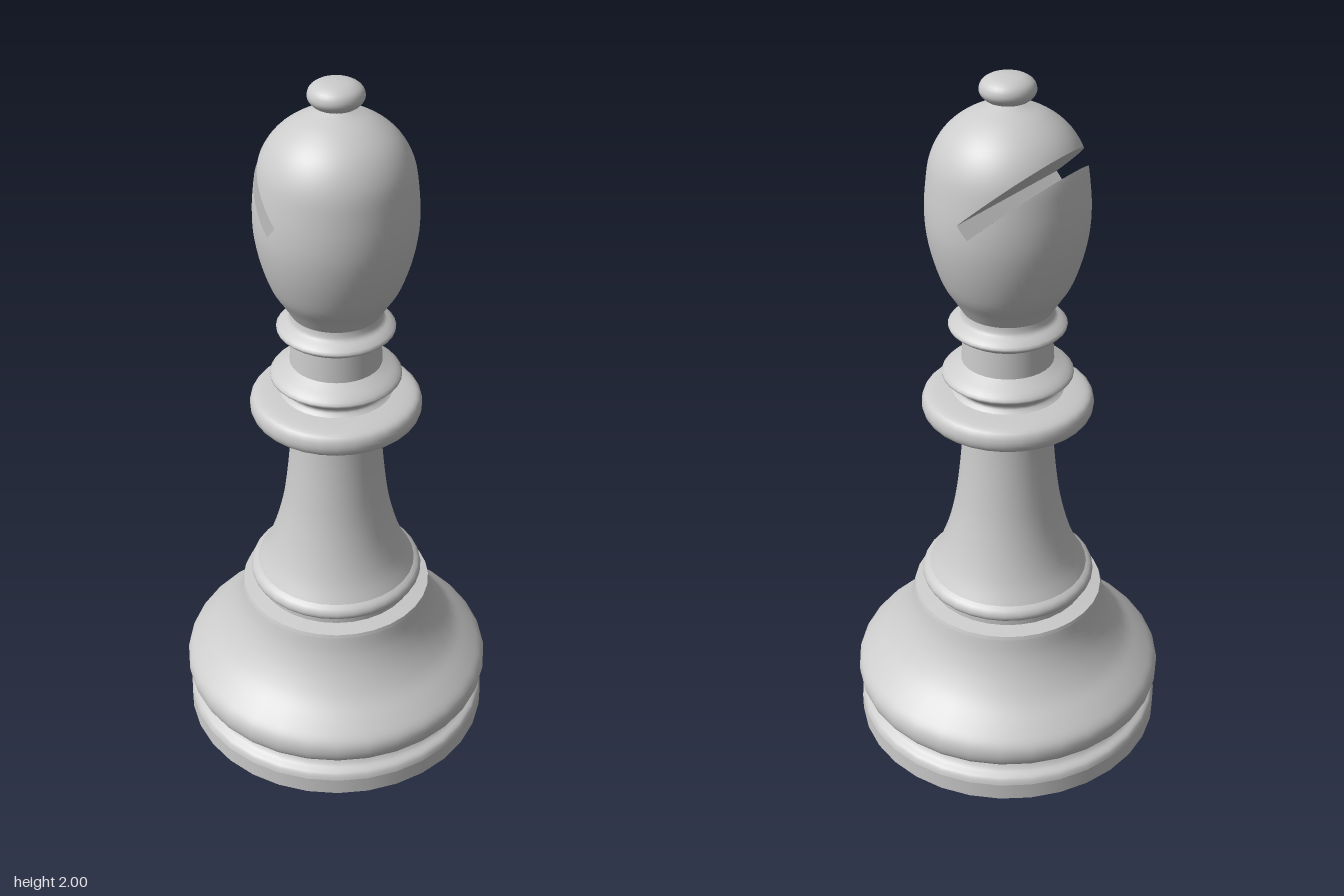
import * as THREE from 'three';

const SIDES = 32;
const material = new THREE.MeshStandardMaterial({ color: 0xcccccc });
const wallMaterial = new THREE.MeshStandardMaterial({ color: 0xcccccc, side: THREE.DoubleSide });

const toPoints = (pairs) => pairs.map(([r, y]) => new THREE.Vector2(r, y));
const smooth = (pairs, n) => new THREE.SplineCurve(toPoints(pairs)).getPoints(n)
  .map((p) => new THREE.Vector2(Math.max(0, p.x), p.y));

// Slot through the head: inner end, outward direction, cross direction, half width
const END = new THREE.Vector2(-0.0165, 1.667);
const DIR = new THREE.Vector2(-0.741, 0.671);
const CROSS = new THREE.Vector2(0.671, 0.741);
const HALF = 0.022;

// Signed distances; a point is in the slot when all three are positive
const along = (p, v) => (p.x - END.x) * v.x + (p.y - END.y) * v.y;
const slotPlanes = [
  (p) => along(p, DIR),
  (p) => HALF - along(p, CROSS),
  (p) => HALF + along(p, CROSS),
];

// Part of a polygon on one side of a plane; vertices are { p, n }
function clip(poly, dist, sign) {
  const out = [];
  poly.forEach((a, i) => {
    const b = poly[(i + 1) % poly.length];
    const da = sign * dist(a.p), db = sign * dist(b.p);
    if (da >= 0) out.push(a);
    if (da * db < 0) {
      const t = da / (da - db);
      out.push({ p: a.p.clone().lerp(b.p, t), n: a.n.clone().lerp(b.n, t).normalize() });
    }
  });
  return out;
}

// Remove the slot from a surface, triangle by triangle
function cutSlot(geometry) {
  const g = geometry.toNonIndexed();
  const { position, normal } = g.attributes;
  const pos = [], nor = [];
  const emit = (poly) => {
    for (let k = 1; k + 1 < poly.length; k++) {
      for (const v of [poly[0], poly[k], poly[k + 1]]) {
        pos.push(...v.p.toArray());
        nor.push(...v.n.toArray());
      }
    }
  };
  for (let i = 0; i < position.count; i += 3) {
    let inside = [0, 1, 2].map((k) => ({
      p: new THREE.Vector3().fromBufferAttribute(position, i + k),
      n: new THREE.Vector3().fromBufferAttribute(normal, i + k),
    }));
    if (!slotPlanes.every((d) => inside.some((v) => d(v.p) > 0))) {
      emit(inside);
      continue;
    }
    for (const d of slotPlanes) {
      emit(clip(inside, d, -1));
      inside = clip(inside, d, 1);
    }
  }
  const out = new THREE.BufferGeometry();
  out.setAttribute('position', new THREE.Float32BufferAttribute(pos, 3));
  out.setAttribute('normal', new THREE.Float32BufferAttribute(nor, 3));
  return out;
}

// Flat wall that runs along a line in xy and spans the head in z
function slotWall(profile, start, dir, length) {
  const radius = (y) => {
    const i = profile.findIndex((p) => p.y > y);
    if (i < 1) return 0;
    const a = profile[i - 1], b = profile[i];
    return a.x + (b.x - a.x) * (y - a.y) / (b.y - a.y);
  };
  const at = (t) => start.clone().addScaledVector(dir, t);
  const room = (t) => { const p = at(t); return radius(p.y) ** 2 - p.x ** 2; };
  let end = length;
  if (room(length) < 0) {
    let lo = 0;
    for (let k = 0; k < 30; k++) {
      const mid = (lo + end) / 2;
      if (room(mid) > 0) lo = mid; else end = mid;
    }
  }
  const steps = 32, pos = [], index = [];
  for (let i = 0; i <= steps; i++) {
    const t = end * Math.sin((i / steps) * Math.PI / 2);
    const p = at(t), w = Math.sqrt(Math.max(0, room(t)));
    pos.push(p.x, p.y, w, p.x, p.y, -w);
    if (i < steps) {
      const a = 2 * i;
      index.push(a, a + 1, a + 2, a + 1, a + 3, a + 2);
    }
  }
  const g = new THREE.BufferGeometry();
  g.setAttribute('position', new THREE.Float32BufferAttribute(pos, 3));
  g.setIndex(index);
  g.computeVertexNormals();
  return g;
}

export function createModel() {
  const model = new THREE.Group();
  model.name = 'bishop';
  const add = (name, geometry, mat = material, parent = model) => {
    const mesh = new THREE.Mesh(geometry, mat);
    mesh.name = name;
    parent.add(mesh);
  };
  const turned = (name, points) => add(name, new THREE.LatheGeometry(points, SIDES));
  // Straight profile with a sharp edge at every corner
  const faceted = (name, pairs) => {
    const pts = toPoints(pairs);
    for (let i = 0; i + 1 < pts.length; i++) turned(name, [pts[i], pts[i + 1]]);
  };

  // Base
  faceted('foot', [[0, 0], [0.37, 0], [0.37, 0.027], [0.405, 0.03], [0.435, 0.06], [0.435, 0.11]]);
  turned('footShoulder', smooth([[0.435, 0.11], [0.428, 0.128], [0.408, 0.14], [0.398, 0.155]], 8));
  turned('baseBell', smooth([[0.398, 0.155], [0.415, 0.172], [0.433, 0.19], [0.439, 0.22], [0.43, 0.25],
    [0.395, 0.285], [0.345, 0.33], [0.305, 0.385], [0.28, 0.44], [0.268, 0.49]], 32));
  faceted('baseLip', [[0.268, 0.49], [0.265, 0.5], [0.222, 0.507], [0.222, 0.525]]);

  // Stem
  turned('stemRing', smooth([[0.222, 0.525], [0.238, 0.535], [0.242, 0.548], [0.236, 0.562], [0.222, 0.572]], 10));
  turned('stem', smooth([[0.222, 0.572], [0.195, 0.62], [0.169, 0.69], [0.147, 0.78], [0.133, 0.88],
    [0.124, 0.98], [0.12, 1.07]], 20));

  // Collars
  faceted('collarUnderside', [[0.12, 1.07], [0.2, 1.067]]);
  turned('wideCollar', smooth([[0.2, 1.067], [0.222, 1.076], [0.23, 1.1], [0.222, 1.126], [0.195, 1.137],
    [0.15, 1.143]], 16));
  turned('middleCollarFlare', smooth([[0.15, 1.143], [0.138, 1.155], [0.148, 1.17], [0.165, 1.182]], 8));
  turned('middleCollar', smooth([[0.165, 1.182], [0.175, 1.192], [0.162, 1.207], [0.138, 1.222], [0.122, 1.232]], 10));
  faceted('neck', [[0.122, 1.232], [0.118, 1.305]]);
  turned('upperCollar', smooth([[0.118, 1.305], [0.14, 1.318], [0.156, 1.333], [0.142, 1.348], [0.124, 1.36],
    [0.119, 1.38]], 14));

  // Head with its slanted slot
  const profile = smooth([[0.119, 1.38], [0.14, 1.415], [0.167, 1.46], [0.191, 1.53], [0.205, 1.6], [0.208, 1.66],
    [0.204, 1.72], [0.194, 1.785], [0.172, 1.835], [0.14, 1.873], [0.095, 1.904], [0.05, 1.922], [0.03, 1.93]], 40);
  const head = new THREE.Group();
  head.name = 'head';
  model.add(head);
  add('headShell', cutSlot(new THREE.LatheGeometry(profile, 64)), material, head);
  const upper = END.clone().addScaledVector(CROSS, HALF);
  const lower = END.clone().addScaledVector(CROSS, -HALF);
  add('slotUpperWall', slotWall(profile, upper, DIR, 0.4), wallMaterial, head);
  add('slotLowerWall', slotWall(profile, lower, DIR, 0.4), wallMaterial, head);
  add('slotEndWall', slotWall(profile, lower, CROSS, 2 * HALF), wallMaterial, head);

  // Finial
  turned('finial', smooth([[0.03, 1.93], [0.052, 1.937], [0.067, 1.951], [0.07, 1.966], [0.062, 1.983],
    [0.038, 1.996], [0, 2]], 18));
  return model;
}
